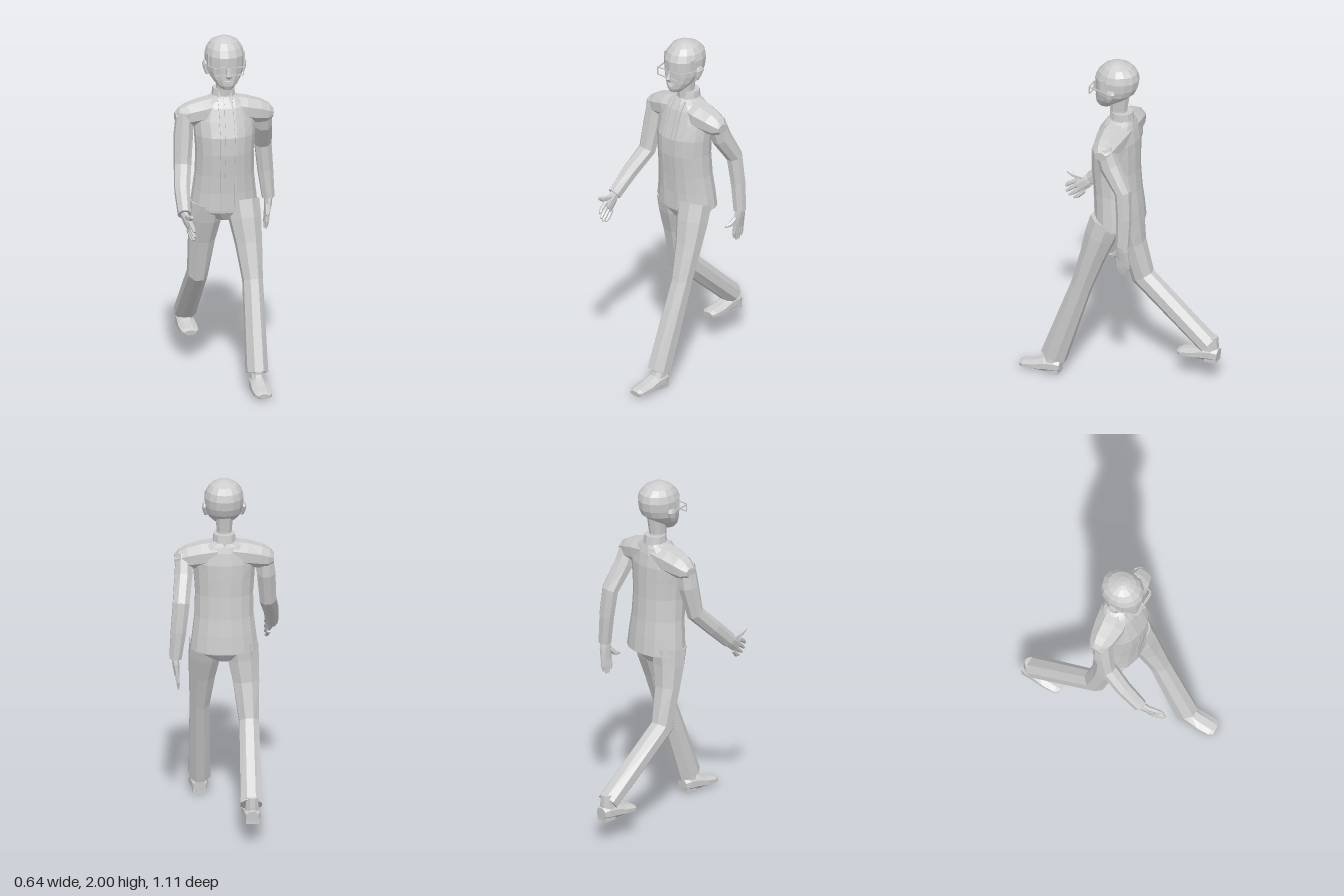
import * as THREE from 'three';

const grey = new THREE.MeshStandardMaterial({ color: 0xcccccc });
grey.name = 'plain grey';
const X = new THREE.Vector3(1, 0, 0), Y = new THREE.Vector3(0, 1, 0), Z = new THREE.Vector3(0, 0, 1);

// Faceted skin over rows of [x, y, z, half-width along ref, half-width across].
// Rings turn with the path unless a fixed direction is given.
function loft(name, rows, ref = X, n = 8, dir = null) {
  const pts = rows.map(r => new THREE.Vector3(r[0], r[1], r[2]));
  const last = rows.length - 1, pos = [], idx = [], k = 1 / Math.cos(Math.PI / n);
  rows.forEach((r, i) => {
    const t = dir ? dir.clone() : new THREE.Vector3();
    if (!dir) {
      if (i > 0) t.add(pts[i].clone().sub(pts[i - 1]).normalize());
      if (i < last) t.add(pts[i + 1].clone().sub(pts[i]).normalize());
      t.normalize();
    }
    const u = ref.clone().addScaledVector(t, -ref.dot(t)).normalize();
    const v = t.clone().cross(u);
    for (let j = 0; j < n; j++) {
      const a = (j + 0.5) / n * Math.PI * 2;
      const p = pts[i].clone().addScaledVector(u, Math.cos(a) * r[3] * k).addScaledVector(v, Math.sin(a) * r[4] * k);
      pos.push(p.x, p.y, p.z);
    }
  });
  for (let i = 0; i < last; i++) for (let j = 0; j < n; j++) {
    const a = i * n + j, b = i * n + (j + 1) % n;
    idx.push(a, b, b + n, a, b + n, a + n);
  }
  for (let j = 1; j < n - 1; j++) {
    idx.push(0, j + 1, j, last * n, last * n + j, last * n + j + 1);
  }
  const g = new THREE.BufferGeometry();
  g.setAttribute('position', new THREE.Float32BufferAttribute(pos, 3));
  g.setIndex(idx);
  const flat = g.toNonIndexed();
  flat.computeVertexNormals();
  const m = new THREE.Mesh(flat, grey);
  m.name = name;
  return m;
}

// Upright body from [y, half-width, front z, back z]
const stack = (name, rows, n) =>
  loft(name, rows.map(([y, w, f, b]) => [0, y, (f + b) / 2, w, (f - b) / 2]), X, n, Y);

function box(name, w, h, d, x, y, z) {
  const m = new THREE.Mesh(new THREE.BoxGeometry(w, h, d), grey);
  m.name = name;
  m.position.set(x, y, z);
  return m;
}

// Palm, four fingers fanned along spread, and a thumb
function hand(name, wrist, tip, spread, thumb) {
  const g = new THREE.Group();
  g.name = name;
  const at = (f, s) => wrist.map((w, i) => w + (tip[i] - w) * f + spread[i] * s);
  g.add(loft('palm', [[...at(-0.1, 0), 0.02, 0.024], [...at(0.2, 0), 0.02, 0.036], [...at(0.6, 0), 0.014, 0.038]]));
  for (let i = 0; i < 4; i++) {
    const s = (i - 1.5) / 1.5, len = i === 0 || i === 3 ? 0.96 : 1.05;
    g.add(loft('finger', [[...at(0.5, s * 0.85), 0.011, 0.012], [...at(0.8, s), 0.01, 0.011], [...at(len, s * 0.9), 0.006, 0.006]], X, 6));
  }
  const mid = at(0.4, 0.9).map((c, i) => c * 0.5 + thumb[i] * 0.5);
  g.add(loft('thumb', [[...at(0.2, 0.4), 0.013, 0.015], [...mid, 0.012, 0.013], [...thumb, 0.006, 0.007]], X, 6));
  return g;
}

// Shoe with heel at z = 0 and toe toward +z
function shoe(name, x, y, z) {
  const g = new THREE.Group();
  g.name = name;
  g.add(loft('shoeBody', [
    [0, 0.045, 0, 0.035, 0.032], [0, 0.047, 0.03, 0.045, 0.045], [0, 0.043, 0.09, 0.048, 0.042],
    [0, 0.032, 0.15, 0.053, 0.03], [0, 0.025, 0.22, 0.05, 0.022], [0, 0.022, 0.243, 0.033, 0.014]]));
  g.add(box('heel', 0.075, 0.03, 0.07, 0, 0.015, 0.04));
  g.add(loft('ankle', [[0, 0.05, 0.055, 0.042, 0.05], [0, 0.1, 0.045, 0.036, 0.04], [0, 0.15, 0.045, 0.034, 0.036]]));
  g.position.set(x, y, z);
  return g;
}

export function createModel() {
  const man = new THREE.Group();
  man.name = 'walkingMan';

  // Jacket, collar and neck
  man.add(stack('jacket', [
    [1.0, 0.19, 0.13, -0.14], [1.1, 0.178, 0.13, -0.132], [1.2, 0.166, 0.137, -0.12], [1.33, 0.163, 0.15, -0.112],
    [1.43, 0.17, 0.148, -0.112], [1.52, 0.175, 0.118, -0.11], [1.59, 0.155, 0.095, -0.098],
    [1.625, 0.11, 0.075, -0.088], [1.65, 0.06, 0.052, -0.078]], 16));
  man.add(stack('collar', [[1.62, 0.066, 0.06, -0.085], [1.69, 0.06, 0.042, -0.075]], 10));
  man.add(stack('neck', [[1.6, 0.045, 0.05, -0.05], [1.7, 0.042, 0.055, -0.045], [1.8, 0.05, 0.06, -0.06]], 10));

  // Tie and jacket edges laid on the chest
  const front = [[1.64, 0.06], [1.59, 0.095], [1.52, 0.118], [1.43, 0.148], [1.33, 0.15], [1.2, 0.137]];
  man.add(loft('tie', front.map(([y, z], i) => [0, y, z, 0.013 + i * 0.002, 0.005]), X, 4));
  for (const s of [-1, 1]) {
    man.add(loft('jacketEdge', [...front, [1.01, 0.13]].map(([y, z]) => [s * 0.042, y, z - 0.002, 0.006, 0.005]), X, 4));
  }

  // Shoulders
  for (const s of [-1, 1]) {
    man.add(loft('shoulder', [
      [s * 0.03, 1.575, -0.01, 0.085, 0.07], [s * 0.12, 1.56, 0, 0.085, 0.07], [s * 0.2, 1.543, 0, 0.07, 0.064],
      [s * 0.25, 1.53, 0, 0.055, 0.052], [s * 0.28, 1.528, 0, 0.034, 0.026]], Z, 8));
  }

  // Sleeves: left swings back, right swings forward
  man.add(loft('leftSleeve', [
    [0.228, 1.56, 0, 0.045, 0.05], [0.232, 1.45, -0.04, 0.05, 0.056], [0.25, 1.31, -0.128, 0.047, 0.044],
    [0.266, 1.15, -0.14, 0.043, 0.04], [0.283, 0.985, -0.138, 0.034, 0.037]]));
  man.add(loft('rightSleeve', [
    [-0.228, 1.56, 0.01, 0.045, 0.05], [-0.238, 1.43, 0.022, 0.052, 0.056], [-0.25, 1.26, 0.06, 0.047, 0.046],
    [-0.275, 1.15, 0.175, 0.042, 0.044], [-0.285, 1.045, 0.29, 0.035, 0.042]]));
  man.add(hand('leftHand', [0.285, 0.99, -0.137], [0.266, 0.81, -0.135], [0, 0, 0.029], [0.26, 0.9, -0.045]));
  man.add(hand('rightHand', [-0.285, 1.045, 0.29], [-0.255, 0.945, 0.42], [0, 0.035, 0.027], [-0.27, 1.07, 0.435]));

  // Trousers and shoes
  man.add(stack('trouserSeat', [[0.93, 0.06, 0.08, -0.06], [0.98, 0.17, 0.11, -0.1], [1.05, 0.165, 0.115, -0.11]], 12));
  man.add(loft('leftTrouserLeg', [
    [0.1, 1.03, 0.035, 0.09, 0.09], [0.108, 0.93, 0.068, 0.087, 0.085], [0.12, 0.8, 0.11, 0.073, 0.07],
    [0.13, 0.6, 0.175, 0.055, 0.059], [0.12, 0.105, 0.35, 0.06, 0.073]]));
  man.add(loft('rightTrouserLeg', [
    [-0.1, 1.03, 0.0, 0.09, 0.1], [-0.108, 0.93, -0.01, 0.087, 0.085], [-0.122, 0.8, -0.035, 0.073, 0.065],
    [-0.135, 0.58, -0.087, 0.055, 0.066], [-0.125, 0.228, -0.495, 0.06, 0.056]]));
  man.add(shoe('leftShoe', 0.122, 0, 0.308));
  man.add(shoe('rightShoe', -0.13, 0.13, -0.552));

  // Head
  man.add(stack('head', [
    [1.712, 0.03, 0.125, 0.05], [1.735, 0.055, 0.135, 0.02], [1.77, 0.082, 0.135, -0.035], [1.81, 0.1, 0.135, -0.085],
    [1.85, 0.107, 0.137, -0.104], [1.9, 0.109, 0.138, -0.112], [1.94, 0.098, 0.12, -0.102],
    [1.972, 0.076, 0.09, -0.07], [1.992, 0.042, 0.055, -0.025], [2.0, 0.015, 0.03, 0.005]], 14));
  man.add(loft('nose', [[0, 1.845, 0.135, 0.007, 0.008], [0, 1.8, 0.146, 0.013, 0.018], [0, 1.787, 0.138, 0.014, 0.012]], X, 6));
  for (const [y, z] of [[1.762, 0.134], [1.751, 0.132]]) {
    man.add(loft('lip', [[-0.026, y, z - 0.006, 0.004, 0.003], [0, y, z + 0.005, 0.008, 0.006], [0.026, y, z - 0.006, 0.004, 0.003]], Z, 6, X));
  }

  // Ears, sideburns and glasses
  for (const s of [-1, 1]) {
    man.add(loft('ear', [
      [s * 0.1, 1.785, 0.025, 0.012, 0.01], [s * 0.109, 1.81, 0.018, 0.02, 0.011],
      [s * 0.113, 1.842, 0.01, 0.028, 0.012], [s * 0.108, 1.862, 0.01, 0.018, 0.01]], Z, 8, Y));
    man.add(box('sideburn', 0.008, 0.07, 0.035, s * 0.103, 1.88, 0.055));
    const glasses = new THREE.Group();
    glasses.name = 'glassesHalf';
    for (const y of [1.85, 1.805]) glasses.add(box('rim', 0.07, 0.006, 0.006, s * 0.048, y, 0.15));
    for (const x of [0.014, 0.082]) glasses.add(box('rim', 0.005, 0.045, 0.006, s * x, 1.8275, 0.15));
    glasses.add(loft('temple', [[s * 0.082, 1.845, 0.15, 0.003, 0.004], [s * 0.108, 1.845, 0.06, 0.003, 0.004], [s * 0.112, 1.845, 0.0, 0.003, 0.004]], X, 4));
    man.add(glasses);
  }
  man.add(box('glassesBridge', 0.03, 0.006, 0.006, 0, 1.84, 0.152));
  return man;
}
